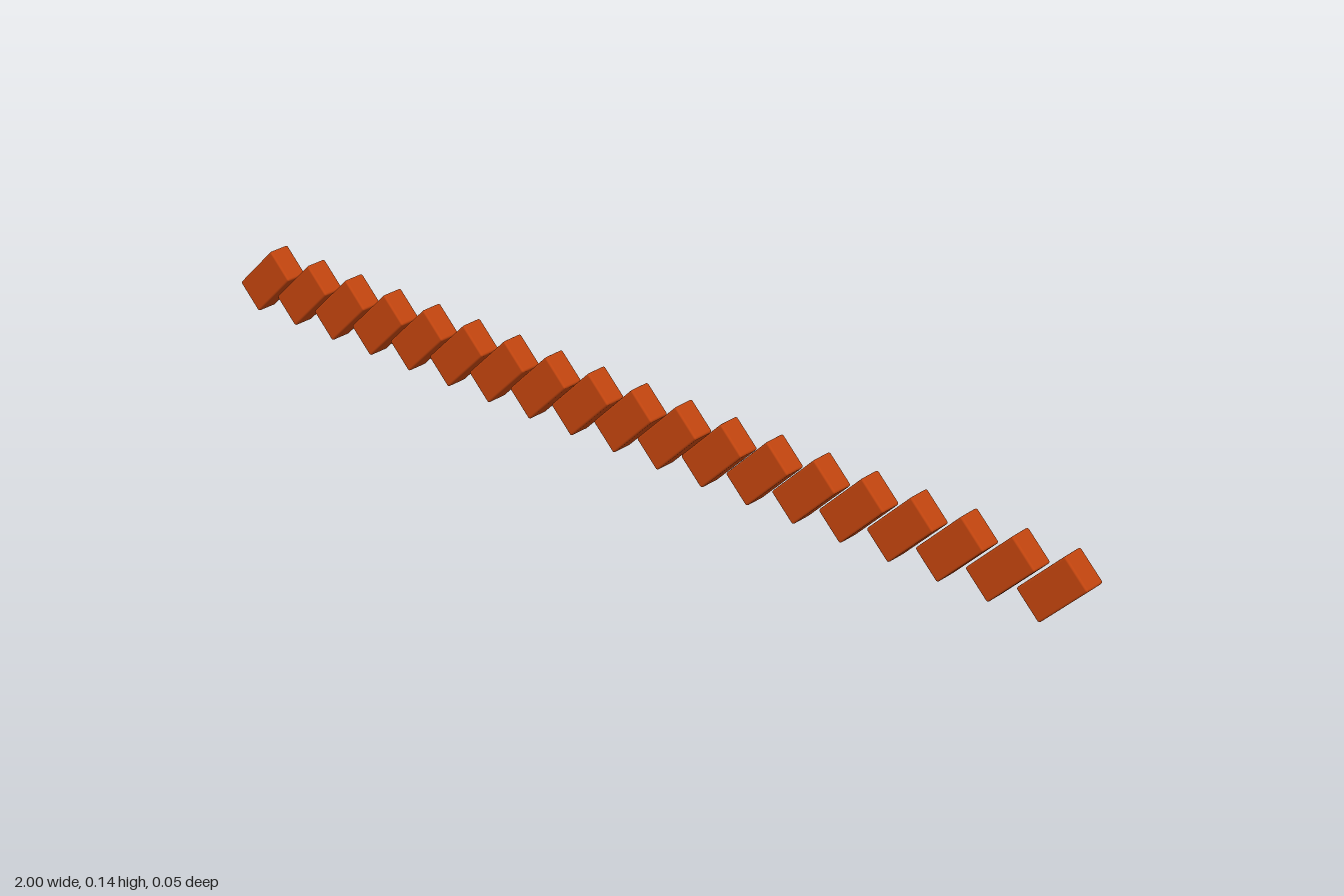
import * as THREE from 'three';
import { RoundedBoxGeometry } from 'three/addons/geometries/RoundedBoxGeometry.js';

const COUNT = 19;
const LENGTH = 0.13, THICKNESS = 0.068, DEPTH = 0.045, BEVEL = 0.004;

export function createModel() {
  const edging = new THREE.Group();
  edging.name = 'brickEdging';

  const material = new THREE.MeshStandardMaterial({ color: 0xc1440e });
  const geometry = new RoundedBoxGeometry(LENGTH, THICKNESS, DEPTH, 2, BEVEL);

  // Half the extent of one brick tilted by 45 degrees, allowing for its rounded corners
  const half = (LENGTH + THICKNESS) / 2 / Math.SQRT2 - BEVEL * (Math.SQRT2 - 1);
  const pitch = (2 - 2 * half) / (COUNT - 1);

  // Row of leaning bricks with narrow gaps between them
  for (let i = 0; i < COUNT; i++) {
    const brick = new THREE.Mesh(geometry, material);
    brick.name = `brick${i + 1}`;
    brick.position.set(-1 + half + i * pitch, half, 0);
    brick.rotation.z = Math.PI / 4;
    edging.add(brick);
  }
  return edging;
}
